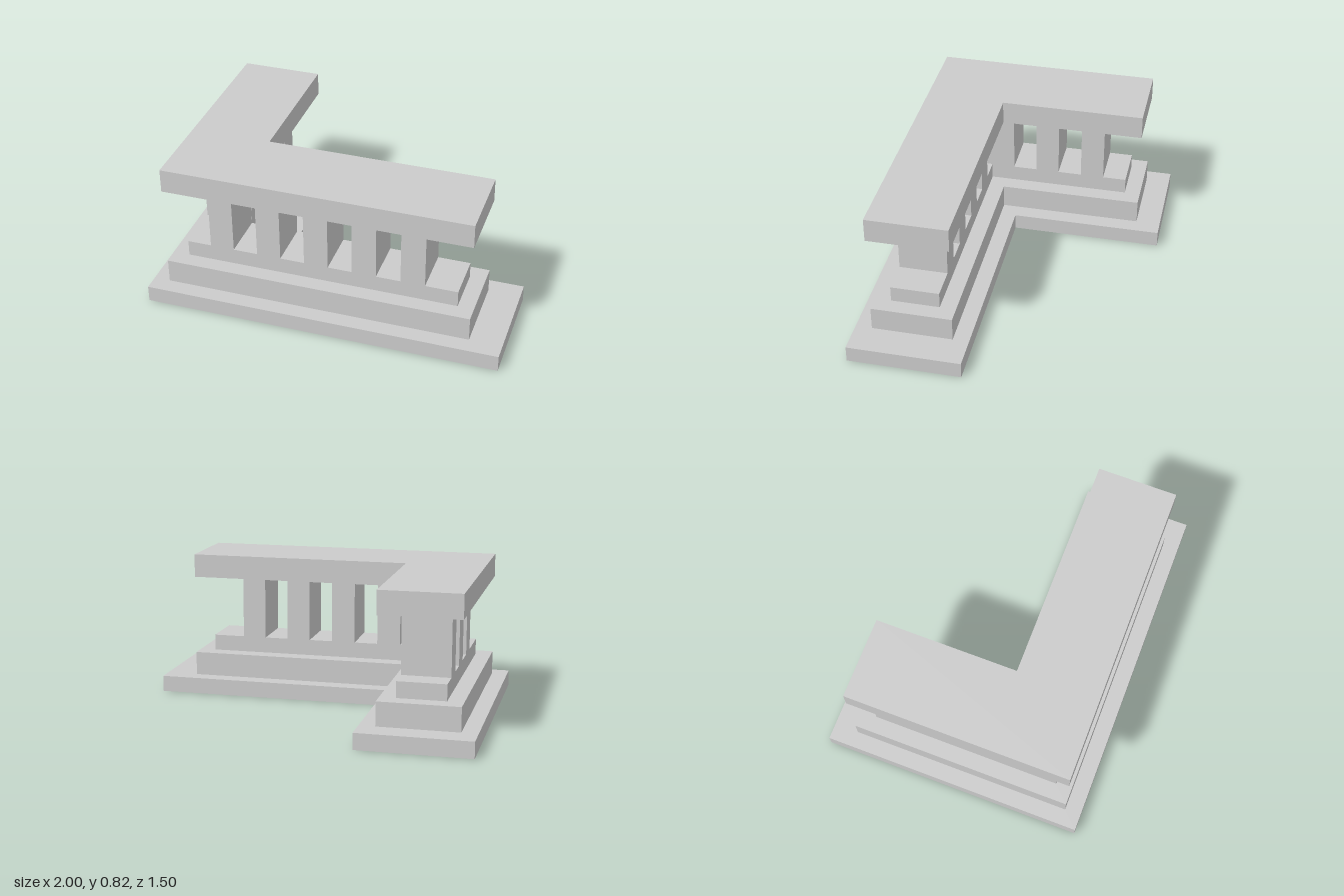
import * as THREE from 'three';

const material = new THREE.MeshStandardMaterial({ color: 0xcccccc, flatShading: true });

// L-shaped slab: outer rectangle x0..x1, z0..z1 with its back left part cut away at (xi, zi)
function lSlab(name, x0, x1, z0, z1, xi, zi, y0, y1) {
  const corners = [[x0, z1], [x1, z1], [x1, zi], [xi, zi], [xi, z0], [x0, z0]];
  const shape = new THREE.Shape(corners.map(([x, z]) => new THREE.Vector2(x, -z)));
  const geometry = new THREE.ExtrudeGeometry(shape, { depth: y1 - y0, bevelEnabled: false });
  geometry.rotateX(-Math.PI / 2).translate(0, y0, 0);
  const mesh = new THREE.Mesh(geometry, material);
  mesh.name = name;
  return mesh;
}

function pillar(name, x0, x1, z0, z1) {
  const y0 = 0.322, y1 = 0.69;
  const mesh = new THREE.Mesh(new THREE.BoxGeometry(x1 - x0, y1 - y0, z1 - z0), material);
  mesh.position.set((x0 + x1) / 2, (y0 + y1) / 2, (z0 + z1) / 2);
  mesh.name = name;
  return mesh;
}

export function createModel() {
  const group = new THREE.Group();
  group.name = 'colonnade';

  // Stepped base and roof
  group.add(
    lSlab('baseStep', -1, 1, -0.752, 0.752, -0.363, 0.115, 0, 0.093),
    lSlab('middleStep', -0.909, 0.818, -0.612, 0.66, -0.454, 0.206, 0.093, 0.23),
    lSlab('plinth', -0.818, 0.728, -0.521, 0.57, -0.545, 0.297, 0.23, 0.322),
    lSlab('roof', -0.909, 0.818, -0.612, 0.66, -0.454, 0.206, 0.69, 0.825),
  );

  // Pillars span the full depth of each wing; the outer corner stays open
  const width = 0.136, spacing = 0.273;
  for (let i = 0; i < 5; i++) {
    const x = -0.682 + i * spacing;
    group.add(pillar('frontWingPillar', x, x + width, 0.297, 0.57));
  }
  for (let i = 0; i < 3; i++) {
    const z = 0.297 - i * spacing;
    group.add(pillar('backWingPillar', -0.818, -0.545, z - width, z));
  }
  return group;
}
